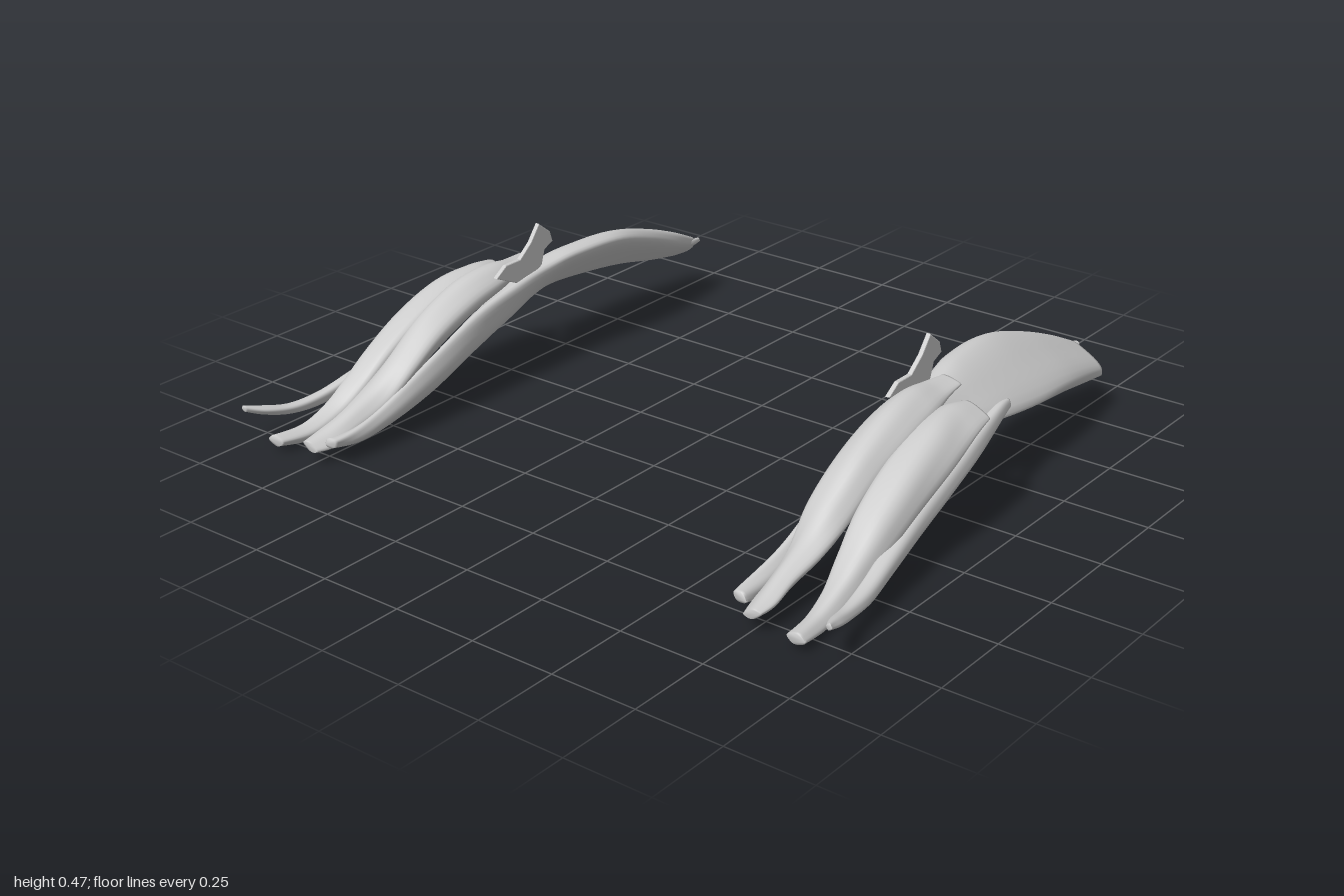
import * as THREE from 'three';

const muscle = new THREE.MeshStandardMaterial({ color: 0xcccccc });
muscle.name = 'paleGrey';
const SIDES = 28, STEPS = 64;

// Catmull-Rom value of column k at fractional row t
function sample(rows, t, k) {
  const n = rows.length - 1, i = Math.min(Math.floor(t), n - 1), f = t - i;
  const p = (j) => rows[Math.max(0, Math.min(n, j))][k];
  const a = p(i - 1), b = p(i), c = p(i + 1), d = p(i + 2);
  return b + 0.5 * f * (c - a + f * (2 * a - 5 * b + 4 * c - d + f * (3 * (b - c) + d - a)));
}

// Lofts tilted ellipses; rows are [z, x, y, halfLong, halfShort, tiltDegrees]
function strand(rows, side, ridge = 0.06) {
  const pos = [], idx = [];
  for (let i = 0; i <= STEPS; i++) {
    const t = (i / STEPS) * (rows.length - 1);
    const [z, x, y, a, b, deg] = [0, 1, 2, 3, 4, 5].map((k) => sample(rows, t, k));
    const c = Math.cos(deg * Math.PI / 180), s = Math.sin(deg * Math.PI / 180);
    for (let j = 0; j < SIDES; j++) {
      const w = (j / SIDES) * Math.PI * 2;
      const r = 1 + ridge * Math.sin(4 * w + 3 * z);
      const u = a * r * Math.cos(w), v = b * r * Math.sin(w);
      pos.push(side * (x + u * c - v * s), y + u * s + v * c, z);
    }
  }
  const tri = (p, q, r) => (side > 0 ? idx.push(p, q, r) : idx.push(p, r, q));
  for (let i = 0; i < STEPS; i++) {
    for (let j = 0; j < SIDES; j++) {
      const p = i * SIDES + j, q = i * SIDES + (j + 1) % SIDES;
      tri(p, q, p + SIDES);
      tri(q, q + SIDES, p + SIDES);
    }
  }
  // end caps
  const last = STEPS * SIDES;
  for (let j = 1; j < SIDES - 1; j++) {
    tri(0, j + 1, j);
    tri(last, last + j, last + j + 1);
  }
  const g = new THREE.BufferGeometry();
  g.setAttribute('position', new THREE.Float32BufferAttribute(pos, 3));
  g.setIndex(idx);
  g.computeVertexNormals();
  return g;
}

const strands = {
  // broad rear leaf that narrows to a cord along the inner underside
  longInnerMuscle: [
    [-0.81, 0.74, 0.16, 0.068, 0.022, -32],
    [-0.7, 0.735, 0.195, 0.09, 0.032, -34],
    [-0.55, 0.737, 0.238, 0.112, 0.036, -36],
    [-0.38, 0.735, 0.272, 0.13, 0.038, -39],
    [-0.2, 0.735, 0.285, 0.115, 0.038, -40],
    [-0.08, 0.725, 0.28, 0.085, 0.038, -46],
    [0.05, 0.705, 0.258, 0.072, 0.036, -60],
    [0.22, 0.69, 0.215, 0.068, 0.03, -75],
    [0.4, 0.685, 0.15, 0.055, 0.025, -82],
    [0.58, 0.687, 0.092, 0.036, 0.022, -80],
    [0.7, 0.69, 0.07, 0.028, 0.02, -60],
    [0.79, 0.70, 0.075, 0.02, 0.014, -20],
  ],
  upperInnerMuscle: [
    [-0.07, 0.74, 0.352, 0.034, 0.01, -8],
    [0.0, 0.735, 0.345, 0.045, 0.022, -10],
    [0.1, 0.735, 0.332, 0.062, 0.045, -14],
    [0.22, 0.737, 0.305, 0.066, 0.055, -18],
    [0.36, 0.735, 0.25, 0.062, 0.054, -20],
    [0.48, 0.735, 0.18, 0.058, 0.045, -15],
    [0.58, 0.742, 0.12, 0.047, 0.034, 10],
    [0.68, 0.745, 0.085, 0.036, 0.026, 20],
    [0.76, 0.75, 0.062, 0.036, 0.02, 20],
    [0.815, 0.755, 0.058, 0.026, 0.012, 20],
  ],
  upperOuterMuscle: [
    [-0.02, 0.85, 0.315, 0.045, 0.014, -20],
    [0.06, 0.845, 0.31, 0.062, 0.028, -24],
    [0.18, 0.85, 0.28, 0.07, 0.046, -35],
    [0.32, 0.852, 0.228, 0.07, 0.05, -42],
    [0.45, 0.855, 0.162, 0.063, 0.046, -40],
    [0.55, 0.86, 0.098, 0.048, 0.04, -30],
    [0.63, 0.867, 0.054, 0.036, 0.034, -15],
    [0.72, 0.875, 0.032, 0.029, 0.024, -5],
    [0.82, 0.888, 0.04, 0.026, 0.015, 0],
  ],
  outerCord: [
    [-0.215, 0.836, 0.263, 0.012, 0.005, -70],
    [-0.15, 0.842, 0.257, 0.022, 0.013, -70],
    [0.0, 0.862, 0.225, 0.031, 0.018, -65],
    [0.15, 0.878, 0.188, 0.032, 0.019, -60],
    [0.32, 0.895, 0.148, 0.032, 0.021, -55],
    [0.48, 0.918, 0.108, 0.028, 0.02, -50],
    [0.6, 0.936, 0.08, 0.024, 0.018, -40],
    [0.7, 0.952, 0.078, 0.018, 0.015, -20],
    [0.78, 0.972, 0.096, 0.017, 0.013, 0],
    [0.835, 0.992, 0.115, 0.008, 0.009, 0],
  ],
  // small pointed corner of the rear end
  rearPoint: [
    [-0.84, 0.693, 0.185, 0.008, 0.007, -30],
    [-0.79, 0.702, 0.184, 0.026, 0.013, -32],
    [-0.7, 0.715, 0.207, 0.02, 0.01, -34],
  ],
};

// Upright flap at the elbow, outlined in (z, y)
const flapOutline = [[0.13, 0.36], [0.02, 0.31], [-0.06, 0.345], [-0.075, 0.39],
  [-0.11, 0.405], [-0.1, 0.435], [-0.055, 0.47], [-0.02, 0.425], [0.03, 0.385], [0.09, 0.385]];

function flap(side) {
  const shape = new THREE.Shape(flapOutline.map(([z, y]) => new THREE.Vector2(-z, y)));
  const g = new THREE.ExtrudeGeometry(shape, {
    depth: 0.008, bevelEnabled: true, bevelSize: 0.003, bevelThickness: 0.003, bevelSegments: 2,
  });
  g.rotateY(Math.PI / 2);
  g.translate(side * 0.677 - 0.004, 0, 0);
  return g;
}

export function createModel() {
  const model = new THREE.Group();
  model.name = 'forearmMuscles';
  for (const side of [1, -1]) {
    const limb = new THREE.Group();
    limb.name = side > 0 ? 'leftForearm' : 'rightForearm';
    for (const [name, rows] of Object.entries(strands)) {
      const mesh = new THREE.Mesh(strand(rows, side), muscle);
      mesh.name = name;
      limb.add(mesh);
    }
    const spur = new THREE.Mesh(flap(side), muscle);
    spur.name = 'elbowFlap';
    limb.add(spur);
    model.add(limb);
  }
  return model;
}
